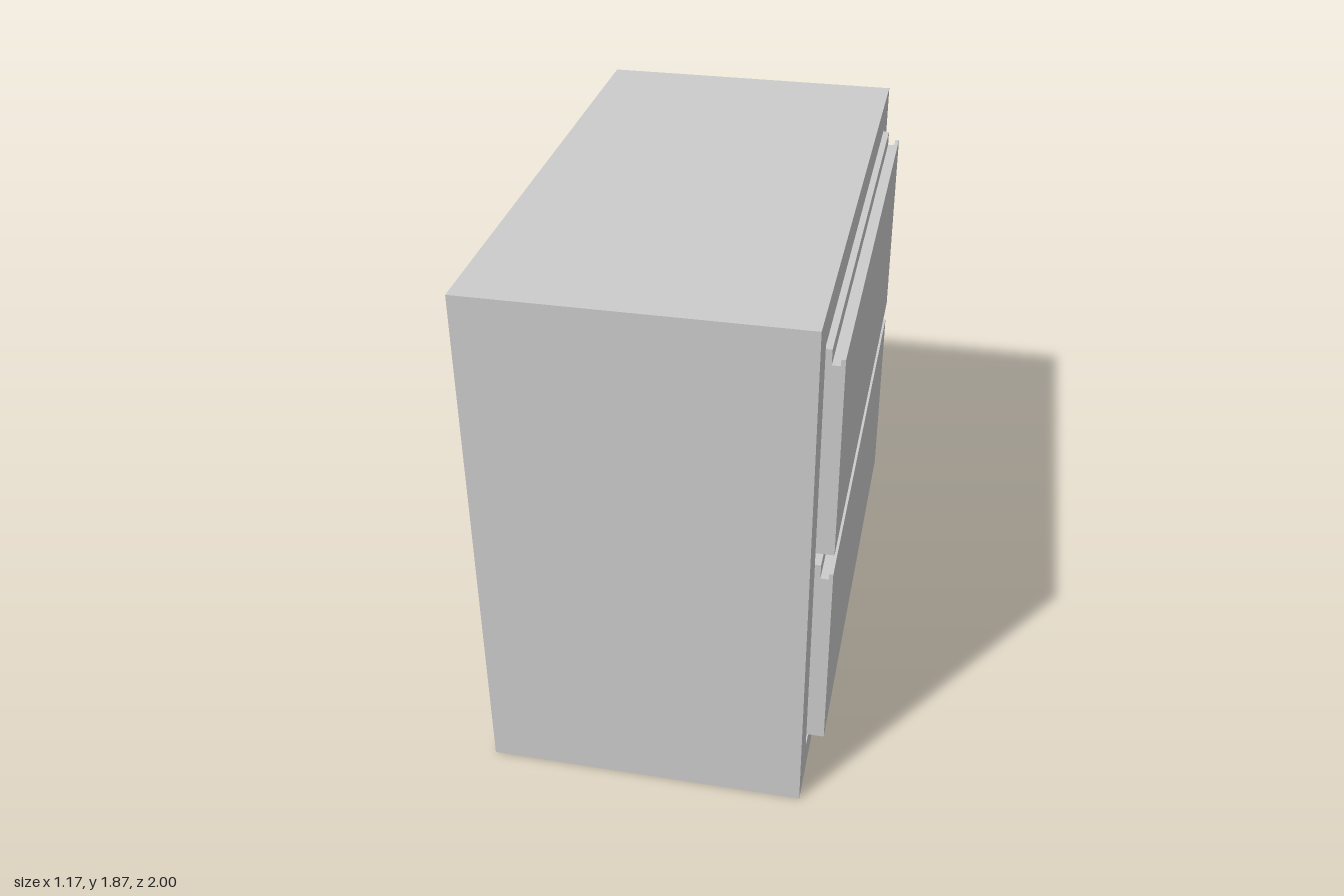
import * as THREE from 'three';

const material = new THREE.MeshStandardMaterial({ color: 0xcccccc, flatShading: true });

// Cabinet: x is depth, z is width, and the opening faces +x
const HEIGHT = 1.87, BACK = -0.585, FACE = 0.525, WALL = 0.12;
const OPEN = { bottom: 0.125, top: 1.752, half: 0.87 };

function addMesh(parent, geometry, name) {
  const mesh = new THREE.Mesh(geometry, material);
  mesh.name = name;
  parent.add(mesh);
  return mesh;
}

function rectangle(PathType, half, bottom, top) {
  return new PathType([
    new THREE.Vector2(-half, bottom), new THREE.Vector2(half, bottom),
    new THREE.Vector2(half, top), new THREE.Vector2(-half, top),
  ]);
}

function createCabinet() {
  const cabinet = new THREE.Group();
  cabinet.name = 'cabinet';

  // Frame with one large opening, extruded from the rear panel to the face
  const outline = rectangle(THREE.Shape, 1, 0, HEIGHT);
  outline.holes.push(rectangle(THREE.Path, OPEN.half, OPEN.bottom, OPEN.top));
  const frame = new THREE.ExtrudeGeometry(outline, { depth: FACE - BACK - WALL, bevelEnabled: false });
  frame.rotateY(Math.PI / 2).translate(BACK + WALL, 0, 0);
  addMesh(cabinet, frame, 'cabinetFrame');

  // Solid rear panel closing the frame
  const panel = new THREE.BoxGeometry(WALL, HEIGHT, 2);
  panel.translate(BACK + WALL / 2, HEIGHT / 2, 0);
  addMesh(cabinet, panel, 'rearPanel');
  return cabinet;
}

// Drawer: side profile with a finger-pull channel behind the front lip
function createDrawer(bottom) {
  const rear = BACK + WALL, width = 2 * OPEN.half - 0.003;
  const profile = new THREE.Shape([
    [rear, 0], [0.586, 0], [0.586, 0.724], [0.572, 0.724],
    [0.572, 0.702], [0.545, 0.702], [0.545, 0.755], [rear, 0.755],
  ].map(([x, y]) => new THREE.Vector2(x, y)));
  const geometry = new THREE.ExtrudeGeometry(profile, { depth: width, bevelEnabled: false });
  return geometry.translate(0, bottom, -width / 2);
}

export function createModel() {
  const model = new THREE.Group();
  model.name = 'drawerCabinet';
  model.add(createCabinet());
  addMesh(model, createDrawer(0.182), 'lowerDrawer');
  addMesh(model, createDrawer(0.985), 'upperDrawer');
  return model;
}
